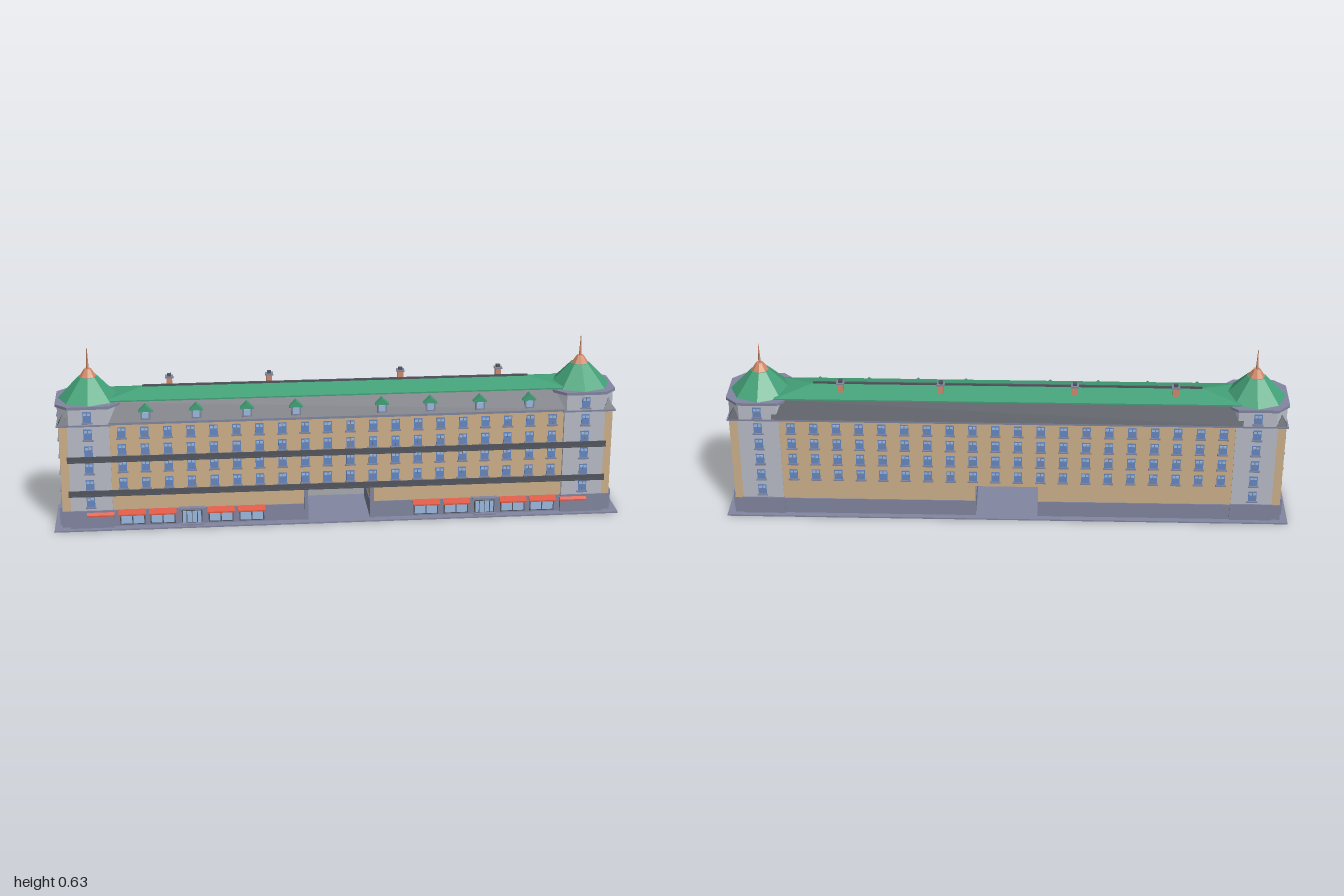
import * as THREE from 'three';
import { mergeGeometries } from 'three/addons/utils/BufferGeometryUtils.js';
import { ConvexGeometry } from 'three/addons/geometries/ConvexGeometry.js';

const mat = (name, color) => {
  const m = new THREE.MeshStandardMaterial({ color });
  m.name = name;
  return m;
};

export function createModel() {
  const M = {
    tan: mat('tan plaster', 0xcdb08a),
    pale: mat('pale grey stone', 0xb8bcc6),
    stone: mat('blue grey stone', 0x8286a0),
    slate: mat('slate', 0x53565f),
    green: mat('green roof', 0x43a178),
    copper: mat('copper', 0xd08a6a),
    red: mat('red awning', 0xdc5a45),
    glass: mat('blue glass', 0x6488c4),
    light: mat('light glass', 0x9dbbe0),
  };
  const root = new THREE.Group();
  root.name = 'building';

  // Geometry is gathered per part name and colour, then merged
  const parts = new Map();
  const put = (name, m, geo) => {
    const key = name + '|' + m;
    if (!parts.has(key)) parts.set(key, []);
    const g = geo.index ? geo.toNonIndexed() : geo;
    g.deleteAttribute('uv');
    parts.get(key).push(g);
  };
  // Box given by its limits
  const box = (name, m, x0, x1, y0, y1, z0, z1) => {
    const g = new THREE.BoxGeometry(Math.abs(x1 - x0), y1 - y0, z1 - z0);
    put(name, m, g.translate((x0 + x1) / 2, (y0 + y1) / 2, (z0 + z1) / 2));
  };
  const hull = (name, m, pts) =>
    put(name, m, new ConvexGeometry(pts.map((p) => new THREE.Vector3(...p))));
  // Rectangular plan with cut corners, pulled upward
  const cutBlock = (name, m, cx, hx, hz, c, y0, y1) => {
    const s = new THREE.Shape([
      [hx, -hz + c], [hx, hz - c], [hx - c, hz], [-hx + c, hz],
      [-hx, hz - c], [-hx, -hz + c], [-hx + c, -hz], [hx - c, -hz],
    ].map(([a, b]) => new THREE.Vector2(a, b)));
    const g = new THREE.ExtrudeGeometry(s, { depth: y1 - y0, bevelEnabled: false });
    put(name, m, g.rotateX(-Math.PI / 2).translate(cx, y0, 0));
  };
  // Window on a wall: glass, top lights, mullion, sill
  const windowAt = (x, y, z, ry) => {
    const piece = (name, m, w, h, d, px, py) => {
      const g = new THREE.BoxGeometry(w, h, d).translate(px, py, d / 2);
      put(name, m, g.rotateY(ry).translate(x, y, z));
    };
    piece('windowGlass', 'glass', 0.029, 0.04, 0.002, 0, 0);
    piece('windowTopLight', 'light', 0.01, 0.009, 0.003, -0.0065, 0.011);
    piece('windowTopLight', 'light', 0.01, 0.009, 0.003, 0.0065, 0.011);
    piece('windowMullion', 'stone', 0.002, 0.036, 0.003, 0, 0);
    piece('windowSill', 'stone', 0.037, 0.005, 0.007, 0, -0.021);
  };
  const floors = [0.165, 0.228, 0.29, 0.352];
  const ZF = 0.093, ZB = -0.101;

  // Ground slab and main walls with the central passage
  box('baseSlab', 'stone', -1, 1, 0, 0.005, -0.126, 0.126);
  const wall = new THREE.Shape([
    [-0.97, 0.003], [-0.112, 0.003], [-0.112, 0.125], [0.112, 0.125],
    [0.112, 0.003], [0.97, 0.003], [0.97, 0.385], [-0.97, 0.385],
  ].map(([a, b]) => new THREE.Vector2(a, b)));
  put('mainWalls', 'tan', new THREE.ExtrudeGeometry(wall, { depth: ZF - ZB, bevelEnabled: false }).translate(0, 0, ZB));
  box('cornice', 'stone', -0.8, 0.8, 0.383, 0.391, -0.11, 0.102);

  // Mansard and shallow hipped roof
  hull('mansard', 'slate', [-0.82, 0.82].flatMap((x) => [
    [x, 0.391, 0.1], [x, 0.391, -0.112], [x, 0.456, 0.068], [x, 0.456, -0.085],
  ]));
  hull('upperRoof', 'green', [-1, 1].flatMap((s) => [
    [s * 0.81, 0.456, 0.071], [s * 0.81, 0.456, -0.088],
    [s * 0.81, 0.461, 0.071], [s * 0.81, 0.461, -0.088], [s * 0.68, 0.484, -0.011],
  ]));
  box('ridgeCap', 'slate', -0.68, 0.68, 0.478, 0.49, -0.014, -0.008);

  // Chimneys
  for (const x of [-0.585, -0.235, 0.23, 0.58]) {
    box('chimney', 'copper', x - 0.01, x + 0.01, 0.465, 0.503, -0.055, -0.035);
    box('chimneyCap', 'stone', x - 0.014, x + 0.014, 0.503, 0.508, -0.059, -0.031);
    box('chimneyPot', 'slate', x - 0.007, x + 0.007, 0.508, 0.517, -0.052, -0.038);
  }

  // Windows of the long walls
  for (const y of floors) {
    for (let i = 0; i < 20; i++) {
      const x = (i - 9.5) * 0.0795;
      windowAt(x, y, ZF, 0);
      windowAt(x, y, ZB, Math.PI);
    }
  }

  // Balconies across the front
  for (const y of [0.127, 0.253]) {
    box('balconySlab', 'slate', -0.945, 0.945, y, y + 0.005, ZF, 0.12);
    box('balconyRail', 'slate', -0.945, 0.945, y + 0.005, y + 0.021, 0.114, 0.117);
  }

  for (const s of [-1, 1]) {
    // Plinth, passage frame
    box('plinth', 'stone', s * 0.11, s * 0.973, 0, 0.065, ZB - 0.003, ZF + 0.003);
    box('passageFrame', 'stone', s * 0.11, s * 0.124, 0, 0.13, ZF - 0.01, 0.1);
    box('endPlinth', 'stone', s * 0.9, s * 0.982, 0, 0.07, -0.07, 0.07);

    // Corner bays front and back
    for (const f of [-1, 1]) {
      box('cornerBay', 'pale', s * 0.795, s * 0.94, 0.07, 0.385, f < 0 ? -0.105 : 0.05, f < 0 ? -0.05 : 0.105);
      box('bayPlinth', 'stone', s * 0.792, s * 0.943, 0, 0.07, f < 0 ? -0.109 : 0.05, f < 0 ? -0.05 : 0.109);
      for (const y of [0.102, ...floors, 0.415]) windowAt(s * 0.87, y, f * 0.105, f > 0 ? 0 : Math.PI);
      // Slate pyramids on the outer corners
      const p = new THREE.ConeGeometry(0.0265, 0.04, 4, 1).rotateY(Math.PI / 4).toNonIndexed();
      p.computeVertexNormals();
      put('cornerPyramid', 'slate', p.translate(s * 0.953, 0.406, f * 0.088));
    }

    // End wall windows and bands
    for (const y of [0.102, ...floors]) windowAt(s * 0.97, y, 0, s * Math.PI / 2);
    windowAt(s * 0.973, 0.415, 0, s * Math.PI / 2);
    for (const y of [0.131, 0.194, 0.257, 0.32]) {
      box('endBand', 'stone', s * 0.965, s * 0.977, y - 0.0025, y + 0.0025, -0.066, 0.066);
    }

    // Tower storey, eave, roof and spire
    box('towerLedge', 'stone', s * 0.79, s * 0.977, 0.381, 0.387, -0.107, 0.107);
    cutBlock('towerStorey', 'pale', s * 0.868, 0.105, 0.105, 0.039, 0.385, 0.447);
    cutBlock('towerEave', 'stone', s * 0.868, 0.112, 0.112, 0.042, 0.445, 0.455);
    const cone = (name, m, r1, r0, y0, y1) => {
      const g = new THREE.CylinderGeometry(r1, r0, y1 - y0, 8, 1).toNonIndexed();
      g.computeVertexNormals();
      put(name, m, g.translate(s * 0.865, (y0 + y1) / 2, 0));
    };
    cone('towerRoof', 'green', 0.034, 0.107, 0.455, 0.531);
    cone('towerCap', 'copper', 0.012, 0.03, 0.531, 0.558);
    cone('spire', 'copper', 0.001, 0.0045, 0.558, 0.63);

    // Dormers
    for (const d of [0.15, 0.32, 0.495, 0.67]) {
      const x = s * d;
      const gable = (name, m, w, y0, y1, y2, z0, z1) => hull(name, m, [z0, z1].flatMap((z) => [
        [x - w, y0, z], [x + w, y0, z], [x - w, y1, z], [x + w, y1, z], [x, y2, z],
      ]));
      gable('dormer', 'stone', 0.017, 0.398, 0.43, 0.444, 0.06, 0.098);
      gable('dormerRoof', 'green', 0.024, 0.427, 0.43, 0.451, 0.06, 0.101);
      box('dormerGlass', 'light', x - 0.011, x + 0.011, 0.403, 0.426, 0.097, 0.1);
    }

    // Shop fronts with awnings
    const awning = (a, b, z) => hull('awning', 'red', [a, b].flatMap((x) => [
      [s * x, 0.066, z], [s * x, 0.062, z], [s * x, 0.056, 0.12], [s * x, 0.051, 0.12],
    ]));
    for (const x of [0.31, 0.418, 0.622, 0.728]) {
      awning(x - 0.048, x + 0.048, ZF);
      box('shopFrame', 'slate', s * (x - 0.044), s * (x + 0.044), 0.01, 0.055, ZF, 0.098);
      for (const k of [-0.021, 0.021]) {
        box('shopGlass', 'light', s * (x + k - 0.019), s * (x + k + 0.019), 0.014, 0.052, 0.097, 0.1);
      }
    }
    awning(0.79, 0.885, 0.105);

    // Shop entrance with canopy
    box('entranceCanopy', 'stone', s * 0.475, s * 0.565, 0.062, 0.069, ZF, 0.112);
    box('entranceFrame', 'slate', s * 0.484, s * 0.556, 0.005, 0.062, ZF, 0.1);
    for (const [a, b] of [[0.488, 0.5], [0.503, 0.519], [0.521, 0.537], [0.54, 0.552]]) {
      box('entranceGlass', 'light', s * a, s * b, 0.012, 0.054, 0.099, 0.102);
    }
    box('entranceStep', 'stone', s * 0.48, s * 0.56, 0.005, 0.01, ZF, 0.115);
  }

  for (const [key, list] of parts) {
    const [name, m] = key.split('|');
    const mesh = new THREE.Mesh(mergeGeometries(list), M[m]);
    mesh.name = name;
    root.add(mesh);
  }
  return root;
}
